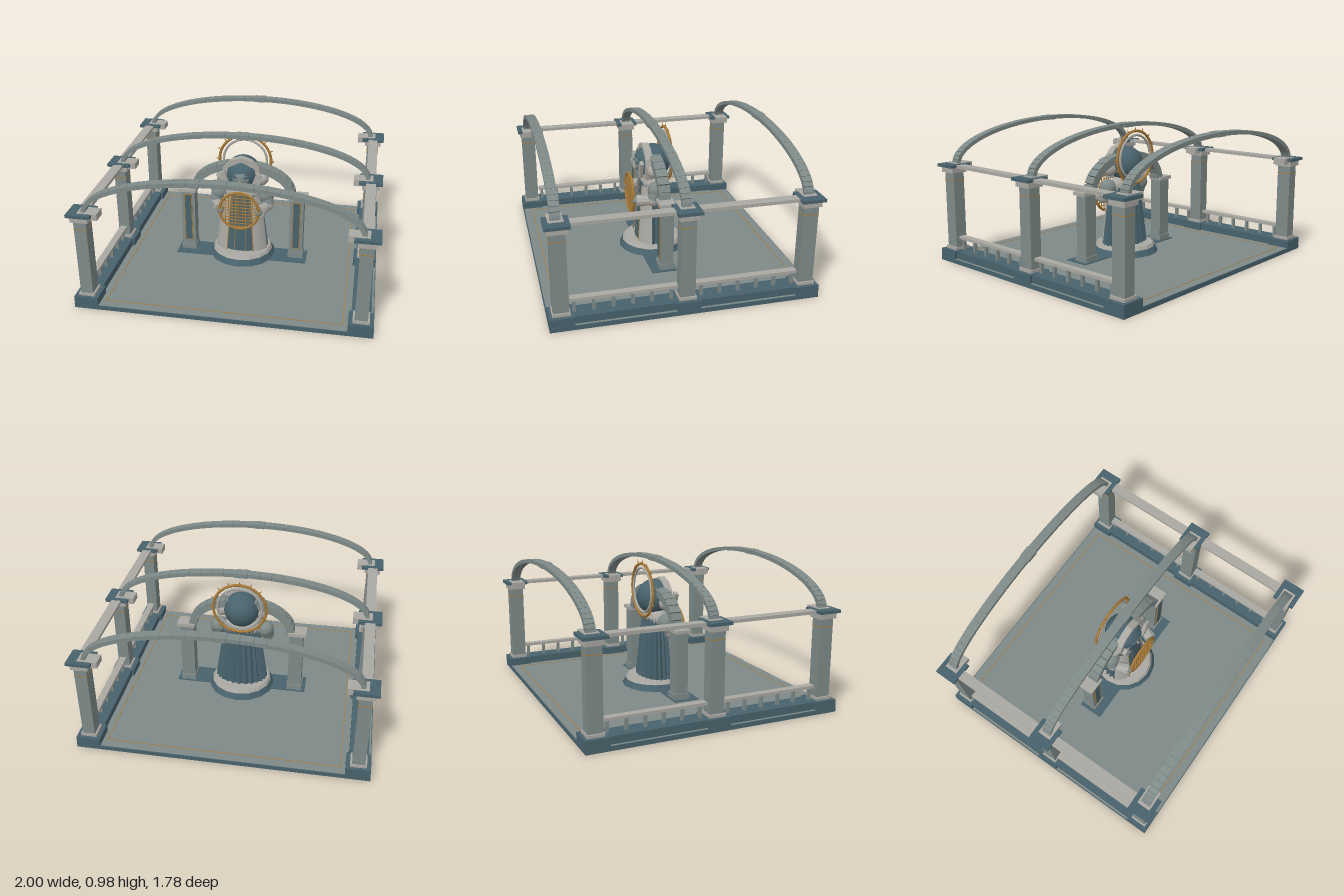
import * as THREE from 'three';

const material = (name, color, side = THREE.FrontSide) => {
  const m = new THREE.MeshStandardMaterial({ color, side });
  m.name = name;
  return m;
};

export function createModel() {
  const teal = material('dark teal', 0x48626c);
  const stone = material('grey green stone', 0x7e8a88);
  const pale = material('pale stone', 0xaaa8a2, THREE.DoubleSide);
  const gold = material('old gold', 0xa87b3a, THREE.DoubleSide);

  const model = new THREE.Group();
  model.name = 'pavilion';
  const group = (name, parent = model) => {
    const g = new THREE.Group();
    g.name = name;
    parent.add(g);
    return g;
  };
  const add = (parent, name, geo, mat, x = 0, y = 0, z = 0) => {
    const m = new THREE.Mesh(geo, mat);
    m.name = name;
    m.position.set(x, y, z);
    parent.add(m);
    return m;
  };
  // box given by its bottom and top heights
  const box = (parent, name, mat, w, d, x, y0, y1, z) =>
    add(parent, name, new THREE.BoxGeometry(w, y1 - y0, d), mat, x, (y0 + y1) / 2, z);
  const flat = (g) => {
    const f = g.toNonIndexed();
    f.computeVertexNormals();
    return f;
  };
  // rod between two points
  const rod = (parent, name, mat, a, b, ra, rb, sides = 10) => {
    const p = new THREE.Vector3(...a), q = new THREE.Vector3(...b);
    const dir = q.clone().sub(p);
    const m = add(parent, name, flat(new THREE.CylinderGeometry(rb, ra, dir.length(), sides)), mat);
    m.position.copy(p).add(q).multiplyScalar(0.5);
    m.quaternion.setFromUnitVectors(new THREE.Vector3(0, 1, 0), dir.normalize());
    return m;
  };
  // elliptical arch laid out of separate blocks
  const arch = (parent, name, rx, ry, cy, z, n, thick, depth) => {
    const g = group(name, parent);
    const at = (t) => [-rx * Math.cos(t), cy + ry * Math.sin(t)];
    for (let i = 0; i < n; i++) {
      const [x0, y0] = at((i / n) * Math.PI), [x1, y1] = at(((i + 1) / n) * Math.PI);
      const key = i === (n - 1) / 2 ? 1.15 : 1;
      const len = Math.hypot(x1 - x0, y1 - y0);
      const b = add(g, 'archBlock', new THREE.BoxGeometry(len * 0.985, thick * key, depth * key), stone,
        (x0 + x1) / 2, (y0 + y1) / 2, z);
      b.rotation.z = Math.atan2(y1 - y0, x1 - x0);
    }
  };

  // floor
  const floor = group('floor');
  box(floor, 'floorSlab', teal, 2, 1.78, 0, 0, 0.03, 0);
  box(floor, 'paving', stone, 1.99, 1.77, 0, 0.03, 0.032, 0);
  for (const s of [-1, 1]) {
    box(floor, 'sideInlay', gold, 0.005, 1.64, s * 0.8, 0.032, 0.034, 0);
    box(floor, 'endInlay', gold, 1.6, 0.005, 0, 0.032, 0.034, s * 0.82);
  }
  box(floor, 'gatePlate', teal, 0.97, 0.18, 0, 0.032, 0.038, 0.025);

  // columns, balustrades and roof beams
  for (const s of [-1, 1]) {
    const x = s * 0.915;
    const side = group(s > 0 ? 'leftColonnade' : 'rightColonnade');
    box(side, 'curb', teal, 0.13, 1.76, x, 0.03, 0.084, 0);
    box(side, 'roofBeam', pale, 0.07, 1.64, x, 0.682, 0.704, 0);
    for (const z of [-0.81, 0, 0.81]) {
      const c = group('column', side);
      box(c, 'plinth', teal, 0.165, 0.16, x, 0.03, 0.086, z);
      box(c, 'foot', pale, 0.11, 0.115, x, 0.086, 0.106, z);
      box(c, 'shaft', stone, 0.085, 0.1, x, 0.106, 0.65, z);
      box(c, 'goldBand', gold, 0.089, 0.104, x, 0.587, 0.592, z);
      box(c, 'capital', pale, 0.12, 0.125, x, 0.645, 0.685, z);
      box(c, 'abacus', teal, 0.165, 0.16, x, 0.685, 0.706, z);
      box(c, 'springer', pale, 0.135, 0.095, s * 0.863, 0.665, 0.71, z);
    }
    for (const t of [-1, 1]) {
      const r = group('balustrade', side);
      box(r, 'handrail', pale, 0.05, 0.69, x, 0.166, 0.186, t * 0.405);
      for (let i = 0; i < 6; i++) box(r, 'baluster', stone, 0.022, 0.02, x, 0.084, 0.168, t * (0.1 + i * 0.125));
    }
  }
  for (const z of [-0.81, 0, 0.81]) arch(model, 'roofArch', 0.895, 0.265, 0.7, z, 33, 0.028, 0.065);

  // inner gate
  const gate = group('gate');
  for (const s of [-1, 1]) {
    const x = s * 0.404;
    box(gate, 'gateFoot', stone, 0.112, 0.11, x, 0.032, 0.078, 0);
    box(gate, 'gatePillar', stone, 0.1, 0.09, x, 0.078, 0.512, 0);
    box(gate, 'gateCap', pale, 0.132, 0.11, s * 0.41, 0.512, 0.536, 0);
    box(gate, 'panelFrame', gold, 0.058, 0.006, x, 0.115, 0.495, 0.047);
    box(gate, 'panel', teal, 0.046, 0.008, x, 0.121, 0.489, 0.048);
  }
  arch(gate, 'gateArch', 0.36, 0.215, 0.53, 0, 15, 0.055, 0.08);

  // statue pedestal
  const statue = group('statue');
  add(statue, 'pedestal', flat(new THREE.CylinderGeometry(0.222, 0.245, 0.045, 16)), teal, 0, 0.053);
  add(statue, 'pedestalRing', flat(new THREE.CylinderGeometry(0.208, 0.222, 0.024, 16)), pale, 0, 0.087);

  // pleated robe with an open pale cloak
  const robeGeo = new THREE.CylinderGeometry(0.125, 0.185, 0.44, 48, 1);
  const p = robeGeo.attributes.position;
  for (let i = 0; i < p.count; i++) {
    const a = Math.atan2(p.getX(i), p.getZ(i));
    const fold = Math.round((a / (2 * Math.PI)) * 48) % 2 ? 0.94 : 1.05;
    const k = Math.abs(a) < 0.6 ? 0.98 : fold;
    p.setX(i, p.getX(i) * k);
    p.setZ(i, p.getZ(i) * k);
  }
  add(statue, 'robe', flat(robeGeo), teal, 0, 0.318).scale.z = 0.69;
  const drape = (name, mat, r, from, size, segs) =>
    add(statue, name, flat(new THREE.CylinderGeometry(r - 0.055, r, 0.43, segs, 1, true, from, size)),
      mat, 0, 0.315).scale.z = 0.7;
  for (const s of [-1, 1]) {
    drape('cloak', pale, 0.202, s > 0 ? 0.5 : -1.25, 0.75, 5);
    drape('cloakTrim', gold, 0.205, s * 0.5 - 0.02, 0.04, 1);
    drape('robeTrim', gold, 0.193, s * 0.22 - 0.012, 0.024, 1);
  }
  const chest = add(statue, 'chest', new THREE.SphereGeometry(0.14, 16, 10), pale, 0, 0.53);
  chest.scale.set(1, 0.6, 0.6);

  // arms reaching forward to the disc
  for (const s of [-1, 1]) {
    const arm = group(s > 0 ? 'leftArm' : 'rightArm', statue);
    add(arm, 'shoulder', new THREE.SphereGeometry(0.062, 12, 8), stone, s * 0.172, 0.525, 0.01);
    rod(arm, 'upperArm', stone, [s * 0.18, 0.525, 0.01], [s * 0.19, 0.455, 0.035], 0.05, 0.045);
    add(arm, 'elbow', new THREE.SphereGeometry(0.045, 10, 8), pale, s * 0.19, 0.455, 0.035);
    rod(arm, 'sleeve', pale, [s * 0.19, 0.455, 0.035], [s * 0.145, 0.445, 0.14], 0.03, 0.044);
    add(arm, 'hand', new THREE.SphereGeometry(0.028, 10, 8), stone, s * 0.14, 0.445, 0.15);
  }

  // latticed disc
  const disc = group('latticeDisc', statue);
  disc.position.set(0, 0.452, 0.166);
  add(disc, 'discRim', new THREE.TorusGeometry(0.143, 0.01, 8, 40), gold);
  for (let i = -5; i <= 5; i++) {
    const o = i * 0.025, len = 2 * Math.sqrt(0.143 ** 2 - o * o);
    add(disc, 'latticeBar', new THREE.BoxGeometry(0.005, len, 0.006), gold, o);
    add(disc, 'latticeBar', new THREE.BoxGeometry(len, 0.005, 0.006), gold, 0, o);
  }

  // head and veil
  const head = group('head', statue);
  add(head, 'neck', new THREE.CylinderGeometry(0.05, 0.07, 0.1, 12), stone, 0, 0.6, 0.01);
  add(head, 'hood', new THREE.SphereGeometry(0.128, 24, 16), teal, 0, 0.683, -0.007);
  add(head, 'face', new THREE.SphereGeometry(0.1, 20, 14), stone, 0, 0.68, 0.025);
  add(head, 'cap', new THREE.SphereGeometry(0.108, 20, 8, 0, Math.PI * 2, 0, Math.PI * 0.38), teal, 0, 0.685, 0.025);
  const outline = (w, top, low, target) => {
    target.moveTo(-w * 0.85, low);
    [[-w, 0.68], [-w * 0.88, 0.745], [-w * 0.5, top - 0.025], [0, top], [w * 0.5, top - 0.025],
      [w * 0.88, 0.745], [w, 0.68], [w * 0.85, low]].forEach(([x, y]) => target.lineTo(x, y));
    target.closePath();
    return target;
  };
  const veil = outline(0.148, 0.826, 0.585, new THREE.Shape());
  veil.holes.push(outline(0.108, 0.792, 0.61, new THREE.Path()));
  add(head, 'veil', new THREE.ExtrudeGeometry(veil, { depth: 0.05, bevelEnabled: false }), pale, 0, 0, 0.025);
  for (const s of [-1, 1]) {
    const palm = add(head, 'raisedPalm', new THREE.BoxGeometry(0.04, 0.125, 0.025), pale, s * 0.112, 0.665, 0.105);
    palm.rotation.z = s * -0.35;
    add(head, 'sideLock', new THREE.SphereGeometry(0.05, 10, 8), pale, s * 0.142, 0.655, 0.02);
    const eye = box(head, 'eye', teal, 0.045, 0.008, s * 0.047, 0.687, 0.7, 0.115);
    eye.rotation.y = s * 0.45;
  }
  const nose = add(head, 'nose', new THREE.ConeGeometry(0.012, 0.04, 4), pale, 0, 0.668, 0.125);
  nose.rotation.y = Math.PI / 4;
  box(head, 'mouth', teal, 0.03, 0.008, 0, 0.632, 0.637, 0.114);

  // halo with short rays
  const halo = group('halo', statue);
  halo.position.set(0, 0.738, -0.1);
  add(halo, 'haloRing', new THREE.TorusGeometry(0.19, 0.01, 8, 48), gold);
  add(halo, 'innerRing', new THREE.TorusGeometry(0.16, 0.009, 8, 48), pale);
  for (let i = 0; i < 16; i++) {
    const a = (i / 16) * Math.PI * 2;
    const ray = add(halo, 'haloRay', new THREE.ConeGeometry(0.007, 0.036, 6), gold,
      Math.sin(a) * 0.208, Math.cos(a) * 0.208);
    ray.rotation.z = -a;
  }
  return model;
}
